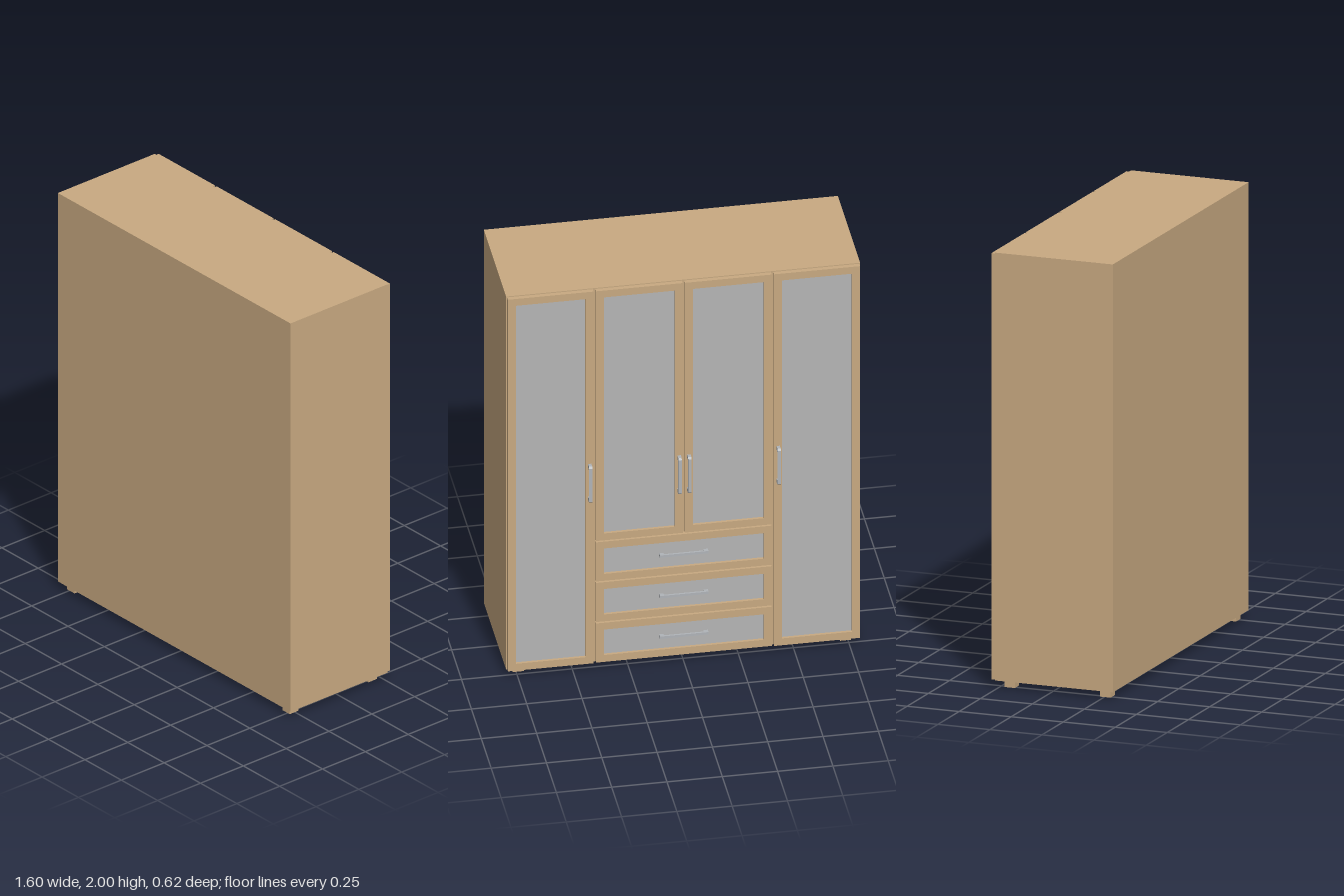
import * as THREE from 'three';

export function createModel() {
  const wood = new THREE.MeshStandardMaterial({ color: 0xc8a981 });
  wood.name = 'wood';
  const panelGrey = new THREE.MeshStandardMaterial({ color: 0xb5b5b5 });
  panelGrey.name = 'panel grey';
  const metal = new THREE.MeshStandardMaterial({ color: 0xb0b4b8 });
  metal.name = 'handle metal';

  const model = new THREE.Group();
  model.name = 'wardrobe';

  // Box given by its two corners
  function box(parent, name, mat, x0, x1, y0, y1, z0, z1) {
    const mesh = new THREE.Mesh(new THREE.BoxGeometry(x1 - x0, y1 - y0, z1 - z0), mat);
    mesh.position.set((x0 + x1) / 2, (y0 + y1) / 2, (z0 + z1) / 2);
    mesh.name = name;
    parent.add(mesh);
    return mesh;
  }

  const BACK = 0.305, CASE = -0.26, FACE = -0.28, FRAME = 0.036;

  // Framed front with a recessed grey panel, used for doors and drawers
  function framedFront(name, x0, x1, y0, y1) {
    const group = new THREE.Group();
    group.name = name;
    const rect = (P, a, b, c, d) => {
      const p = new P();
      p.moveTo(a, c).lineTo(b, c).lineTo(b, d).lineTo(a, d).closePath();
      return p;
    };
    const shape = rect(THREE.Shape, x0, x1, y0, y1);
    shape.holes.push(rect(THREE.Path, x0 + FRAME, x1 - FRAME, y0 + FRAME, y1 - FRAME));
    const geometry = new THREE.ExtrudeGeometry(shape, { depth: CASE - FACE, bevelEnabled: false });
    const frame = new THREE.Mesh(geometry, wood);
    frame.position.z = FACE;
    frame.name = name + 'Frame';
    group.add(frame);
    box(group, name + 'Panel', panelGrey, x0 + FRAME, x1 - FRAME, y0 + FRAME, y1 - FRAME, -0.267, CASE);
    model.add(group);
    return group;
  }

  // Bow handle: chamfered C profile in the y-z plane, extruded across its width
  function bowHandle(x) {
    const shape = new THREE.Shape();
    const h = 0.095, d = 0.03;
    [[0, -h], [d - 0.008, -h], [d, -h + 0.008], [d, h - 0.008], [d - 0.008, h], [0, h],
      [0, h - 0.018], [d - 0.014, h - 0.018], [d - 0.012, h - 0.022],
      [d - 0.012, -h + 0.022], [d - 0.014, -h + 0.018], [0, -h + 0.018]]
      .forEach(([u, v], i) => (i ? shape.lineTo(u, v) : shape.moveTo(u, v)));
    const width = 0.015;
    const geometry = new THREE.ExtrudeGeometry(shape, { depth: width, bevelEnabled: false });
    geometry.translate(0, 0, -width / 2);
    geometry.rotateY(Math.PI / 2);
    const mesh = new THREE.Mesh(geometry, metal);
    mesh.position.set(x, 0.995, FACE);
    mesh.name = 'doorHandle';
    model.add(mesh);
  }

  // Cabinet body
  box(model, 'body', wood, -0.8, 0.8, 0.035, 2, CASE, BACK);

  // Feet
  for (const s of [-1, 1]) {
    for (const z of [0.255, -0.205]) {
      box(model, 'foot', wood, s * 0.74 - 0.025, s * 0.74 + 0.025, 0, 0.035, z - 0.025, z + 0.025);
    }
  }

  // Tall outer doors and shorter inner doors, mirrored
  for (const s of [-1, 1]) {
    const side = s > 0 ? 'left' : 'right';
    const span = (a, b) => (s > 0 ? [a, b] : [-b, -a]);
    framedFront(side + 'OuterDoor', ...span(0.408, 0.796), 0.038, 1.995);
    framedFront(side + 'InnerDoor', ...span(0.005, 0.397), 0.68, 1.995);
    bowHandle(s * 0.426);
    bowHandle(s * 0.022);
  }

  // Three drawers with slim bar handles
  for (let i = 0; i < 3; i++) {
    const y = 0.143 + i * 0.2135;
    const drawer = framedFront('drawer', -0.397, 0.397, y - 0.103, y + 0.103);
    box(drawer, 'drawerHandle', metal, -0.11, 0.11, y - 0.006, y + 0.006, -0.287, -0.278);
    for (const s of [-1, 1]) {
      box(drawer, 'drawerHandlePost', metal, s * 0.1 - 0.01, s * 0.1 + 0.01, y - 0.006, y + 0.006, -0.278, -0.267);
    }
  }

  return model;
}
